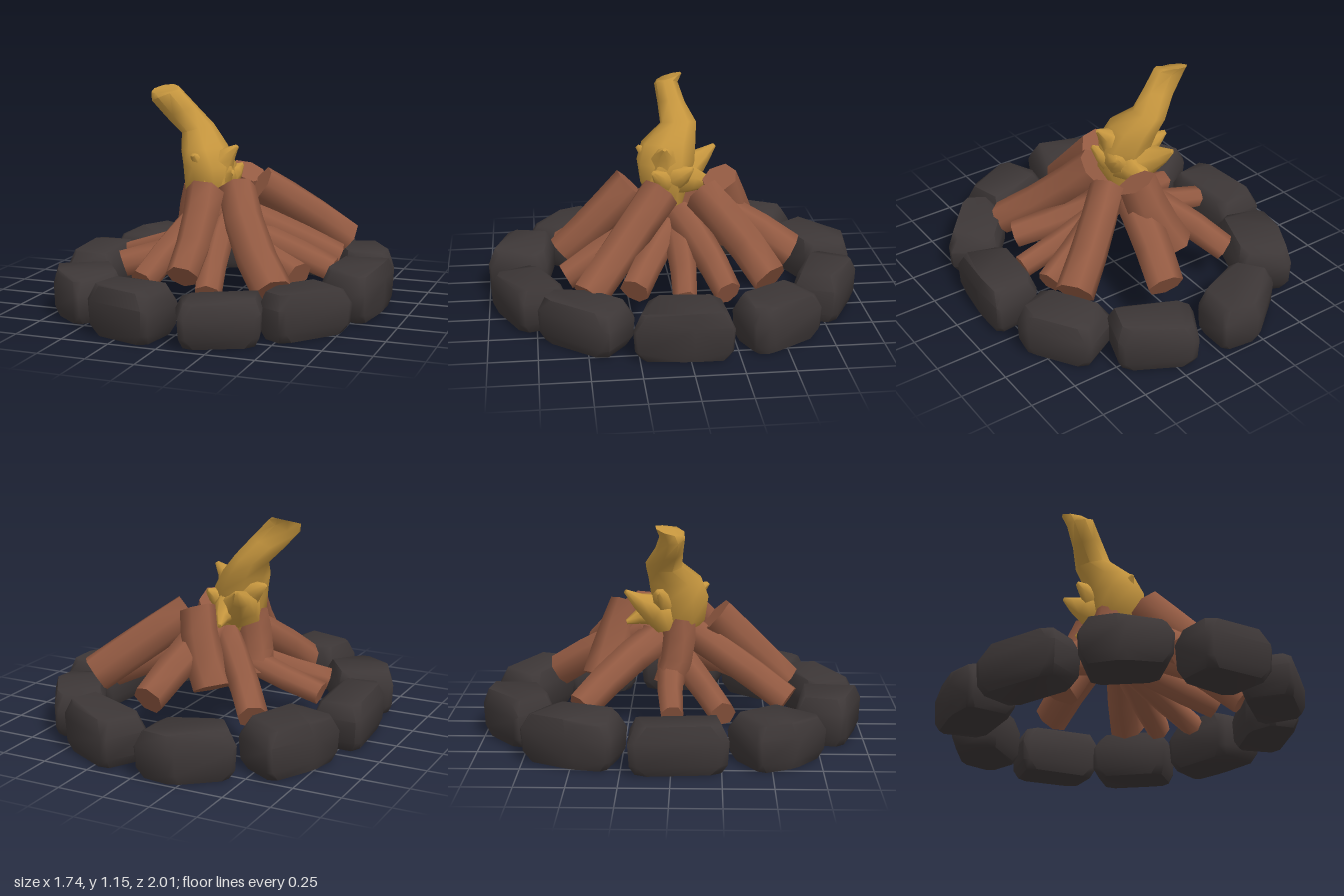
import * as THREE from 'three';
import { toCreasedNormals } from 'three/addons/utils/BufferGeometryUtils.js';
import { ConvexGeometry } from 'three/addons/geometries/ConvexGeometry.js';

const V = (x, y, z) => new THREE.Vector3(x, y, z);

// Skin a list of equal-length point rings and cap both ends
function loft(rings, crease) {
  const n = rings[0].length, pos = [], idx = [];
  rings.forEach(r => r.forEach(p => pos.push(p.x, p.y, p.z)));
  for (let i = 0; i < rings.length - 1; i++) {
    for (let j = 0; j < n; j++) {
      const a = i * n + j, b = i * n + (j + 1) % n;
      idx.push(a, a + n, b, b, a + n, b + n);
    }
  }
  const last = (rings.length - 1) * n;
  for (let j = 1; j < n - 1; j++) {
    idx.push(0, j, j + 1, last, last + j + 1, last + j);
  }
  const g = new THREE.BufferGeometry();
  g.setAttribute('position', new THREE.Float32BufferAttribute(pos, 3));
  g.setIndex(idx);
  return toCreasedNormals(g, crease);
}

// Slightly bent, rough log between two points
function logGeometry(base, top, r0, r1, seed) {
  const d = top.clone().sub(base).normalize();
  const u = V(-d.z, 0, d.x).normalize();
  const v = u.clone().cross(d);
  const rings = [0, 0.35, 0.7, 1].map((t, i) => {
    const c = base.clone().lerp(top, t);
    const mid = Math.sin(Math.PI * t);
    c.addScaledVector(u, mid * 0.02 * Math.sin(seed * 2.3));
    c.addScaledVector(v, mid * 0.02 * Math.cos(seed * 1.7));
    const r = r0 + (r1 - r0) * t;
    return Array.from({ length: 7 }, (_, j) => {
      const a = (j / 7) * Math.PI * 2 + seed;
      const k = r * (1 + 0.08 * Math.sin(seed * 5 + j * 2.1 + i * 0.6));
      return c.clone().addScaledVector(u, Math.cos(a) * k).addScaledVector(v, Math.sin(a) * k);
    });
  });
  return loft(rings, 1.15);
}

// Bevelled rock from its ground outline
function stoneGeometry(outline, height, seed) {
  const n = outline.length, pts = [];
  const cx = outline.reduce((s, p) => s + p[0], 0) / n;
  const cz = outline.reduce((s, p) => s + p[1], 0) / n;
  const layers = [[0.01, 0.86, 0.14], [0.06, 0.97, 0.08], [height * 0.68, 1, 0.07], [height - 0.008, 0.86, 0.14]];
  layers.forEach(([y, s, cut], l) => outline.forEach((p, i) => {
    const q = outline[(i + 1) % n];
    [cut, 1 - cut].forEach(t => {
      const x = p[0] + (q[0] - p[0]) * t, z = p[1] + (q[1] - p[1]) * t;
      const dy = l > 1 ? 0.013 * Math.sin(seed * 3.1 + i * 1.9) : 0;
      pts.push(V(cx + (x - cx) * s, y + dy, cz + (z - cz) * s));
    });
  }));
  return toCreasedNormals(new ConvexGeometry(pts), 1.1);
}

export function createModel() {
  const root = new THREE.Group();
  root.name = 'campfire';
  const stoneMat = new THREE.MeshStandardMaterial({ color: 0x3d3737 });
  const woodMat = new THREE.MeshStandardMaterial({ color: 0x935a42 });
  const flameMat = new THREE.MeshStandardMaterial({ color: 0xc6963e });
  stoneMat.name = 'charcoal stone';
  woodMat.name = 'brown wood';
  flameMat.name = 'golden flame';

  const group = name => {
    const g = new THREE.Group();
    g.name = name;
    root.add(g);
    return g;
  };
  const add = (parent, geometry, material, name) => {
    const m = new THREE.Mesh(geometry, material);
    m.name = name;
    parent.add(m);
  };

  // Ring of stones: height, then outline corners (x, z)
  const stoneRing = group('stoneRing');
  [
    [0.265, [0.61, -0.2], [0.87, -0.22], [0.87, 0], [0.83, 0.29], [0.58, 0.21]],
    [0.25, [0.4, 0.5], [0.61, 0.25], [0.82, 0.41], [0.54, 0.75], [0.4, 0.67]],
    [0.24, [0, 0.75], [0.4, 0.57], [0.47, 0.83], [0.11, 1]],
    [0.265, [-0.36, 0.63], [0, 0.69], [-0.05, 1.01], [-0.42, 0.89]],
    [0.245, [-0.82, 0.43], [-0.57, 0.27], [-0.36, 0.57], [-0.53, 0.79], [-0.73, 0.63]],
    [0.26, [-0.87, -0.21], [-0.61, -0.21], [-0.58, 0.25], [-0.83, 0.29]],
    [0.26, [-0.63, -0.77], [-0.39, -0.63], [-0.54, -0.22], [-0.81, -0.3], [-0.77, -0.5]],
    [0.26, [-0.22, -1.01], [0, -0.98], [0, -0.75], [-0.34, -0.61], [-0.48, -0.8]],
    [0.27, [0.16, -0.99], [0.52, -0.8], [0.44, -0.57], [0.03, -0.76]],
    [0.255, [0.63, -0.71], [0.83, -0.4], [0.82, -0.32], [0.61, -0.23], [0.4, -0.59]],
  ].forEach(([h, ...outline], i) =>
    add(stoneRing, stoneGeometry(outline, h, i), stoneMat, `stone${i + 1}`));

  // Stacked logs: outer end, upper end, outer radius, upper radius
  const logs = group('logs');
  [
    // large leaning logs
    [[-0.02, 0.27, 0.6], [-0.05, 0.63, 0.22], 0.085, 0.105],
    [[0.42, 0.2, 0.48], [0.08, 0.63, 0.08], 0.1, 0.105],
    [[0.54, 0.3, -0.44], [0.14, 0.63, -0.14], 0.1, 0.1],
    [[0.11, 0.28, -0.63], [0, 0.55, -0.14], 0.09, 0.1],
    [[-0.12, 0.3, -0.36], [0.03, 0.68, -0.25], 0.12, 0.1],
    [[-0.2, 0.3, -0.02], [-0.14, 0.63, 0.03], 0.09, 0.09],
    // low inner logs
    [[0.11, 0.18, 0.59], [0.01, 0.46, 0.05], 0.07, 0.08],
    [[-0.24, 0.22, 0.6], [-0.06, 0.54, 0.1], 0.075, 0.09],
    [[-0.5, 0.22, 0.26], [-0.02, 0.4, 0.02], 0.07, 0.08],
    [[-0.57, 0.23, 0], [0, 0.42, 0], 0.06, 0.075],
    [[-0.4, 0.22, -0.47], [-0.06, 0.5, -0.1], 0.08, 0.09],
    [[0.59, 0.22, 0], [0.02, 0.42, -0.01], 0.065, 0.08],
    [[0.48, 0.24, 0.25], [0.03, 0.44, 0], 0.075, 0.08],
    [[0.56, 0.24, -0.22], [0.04, 0.48, -0.03], 0.07, 0.09],
  ].forEach(([a, b, r0, r1], i) =>
    add(logs, logGeometry(V(...a), V(...b), r0, r1, i + 1), woodMat, `log${i + 1}`));

  // Flame body: centre x, y, z, radii and slope along x, curling toward one side
  const flame = group('flame');
  const rings = [
    [-0.06, 0.48, 0, 0.05, 0.05, 0], [-0.08, 0.62, 0.04, 0.14, 0.13, 0], [-0.09, 0.75, 0.03, 0.14, 0.16, 0],
    [-0.13, 0.84, 0.01, 0.12, 0.15, 0.1], [-0.19, 0.93, -0.05, 0.085, 0.1, 0.3],
    [-0.27, 1.02, -0.02, 0.085, 0.075, 0.4], [-0.35, 1.11, 0, 0.085, 0.065, 0.4], [-0.37, 1.14, -0.02, 0.075, 0.07, 0.1],
  ].map(([x, y, z, rx, rz, slope], i, all) => Array.from({ length: 8 }, (_, j) => {
    const a = (j / 8) * Math.PI * 2 + 0.3;
    const back = i === all.length - 1 ? 0.02 : 0;
    return V(x + Math.cos(a) * rx, y + Math.cos(a) * rx * slope - Math.sin(a) * back, z + Math.sin(a) * rz);
  }));
  add(flame, loft(rings, 1.15), flameMat, 'flameBody');

  // Broad side tongues: root, tip, root radius
  [
    [[-0.06, 0.68, 0.04], [0.07, 0.86, 0.05], 0.13],
    [[-0.14, 0.72, -0.02], [-0.28, 0.8, -0.08], 0.1],
    [[-0.1, 0.66, -0.03], [-0.2, 0.79, -0.25], 0.13],
    [[-0.06, 0.66, -0.03], [-0.1, 0.6, -0.25], 0.1],
    [[-0.1, 0.68, 0.05], [-0.13, 0.82, 0.18], 0.12],
    [[-0.05, 0.66, 0.03], [0.07, 0.73, 0.11], 0.1],
    [[-0.05, 0.68, -0.01], [0.05, 0.74, -0.1], 0.11],
  ].forEach(([a, b, r], i) =>
    add(flame, logGeometry(V(...a), V(...b), r, 0.012, i), flameMat, `flameTongue${i + 1}`));

  return root;
}
